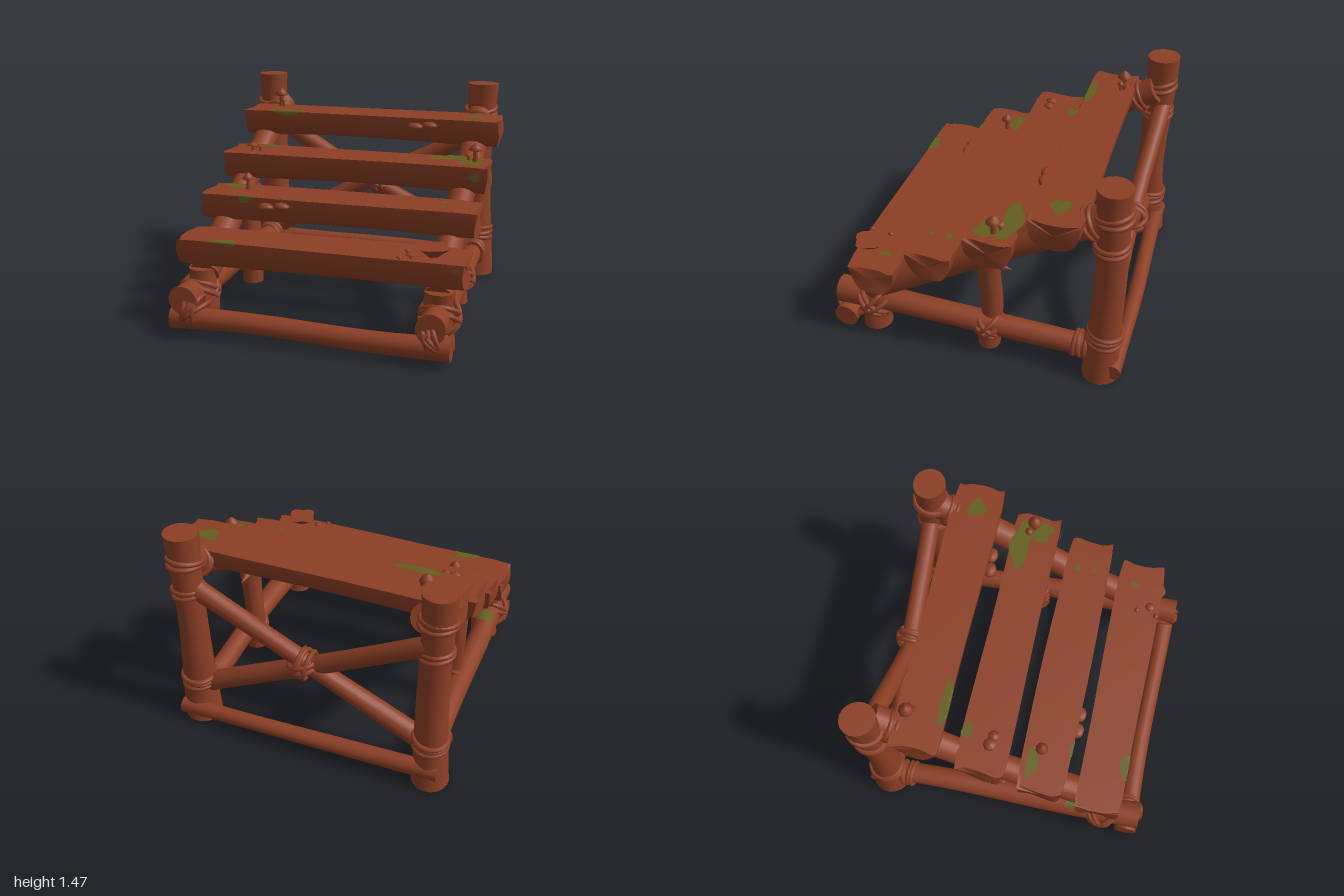
import * as THREE from 'three';
import { toCreasedNormals } from 'three/addons/utils/BufferGeometryUtils.js';

const wood = new THREE.MeshStandardMaterial({ color: 0x8c3f25 });
wood.name = 'reddish brown wood';
const mossGreen = new THREE.MeshStandardMaterial({ color: 0x635e1c, side: THREE.DoubleSide });
mossGreen.name = 'moss green';

const V = (x, y, z) => new THREE.Vector3(x, y, z);
const UP = V(0, 1, 0);

export function createModel() {
  const model = new THREE.Group();
  model.name = 'logStairs';

  function add(name, geometry, material = wood, parent = model) {
    const mesh = new THREE.Mesh(geometry, material);
    mesh.name = name;
    parent.add(mesh);
    return mesh;
  }

  // Uneven log from a to b, waisted in the middle
  function log(name, a, b, r0, r1, flare = 0.15, seed = 0) {
    const length = a.distanceTo(b);
    const g = new THREE.CylinderGeometry(1, 1, length, 18, 10);
    const p = g.attributes.position;
    for (let i = 0; i < p.count; i++) {
      const t = p.getY(i) / length + 0.5;
      const angle = Math.atan2(p.getZ(i), p.getX(i));
      let r = r0 + (r1 - r0) * t;
      r *= 1 - flare / 2 + flare * (2 * t - 1) ** 2 + 0.03 * Math.sin(2 * angle + 7 * t + seed);
      const bend = 0.008 * Math.sin(t * Math.PI * 2 + seed);
      p.setXYZ(i, p.getX(i) * r + bend, p.getY(i), p.getZ(i) * r + bend);
    }
    const mesh = add(name, toCreasedNormals(g, 0.8));
    mesh.position.copy(a).lerp(b, 0.5);
    mesh.quaternion.setFromUnitVectors(UP, b.clone().sub(a).normalize());
    return mesh;
  }

  // Rope turns stacked along an axis
  function lashing(name, center, axis, radius, turns = 2, rope = 0.017) {
    const dir = axis.clone().normalize();
    const group = new THREE.Group();
    group.name = name;
    for (let i = 0; i < turns; i++) {
      const tilt = V(0.1 * Math.sin(i * 2.4 + 1), 0.1 * Math.cos(i * 3.1), 0.1 * Math.sin(i * 1.7));
      const m = add('ropeTurn', new THREE.TorusGeometry(radius, rope, 8, 24), wood, group);
      m.position.copy(center).addScaledVector(dir, (i - (turns - 1) / 2) * rope * 1.9);
      m.quaternion.setFromUnitVectors(V(0, 0, 1), dir.clone().add(tilt).normalize());
    }
    model.add(group);
  }

  // Side frames
  for (const s of [-1, 1]) {
    const side = s > 0 ? 'left' : 'right';
    const px = s > 0 ? 0.782 : -0.848, x = 0.777 * s;
    const railX = s > 0 ? 0.785 : -0.81;
    log(side + 'BackPost', V(px - 0.004, 0, -0.85), V(px + 0.004, s > 0 ? 1.45 : 1.465, -0.855), 0.115, 0.1, 0.2, s);
    log(side + 'Stringer', V(x, 0.355, 0.7), V(x, 1.235, -0.84), 0.092, 0.09, 0.08, s + 2);
    log(side + 'Rail', V(railX, 0.255, 0.96), V(px, 0.19, -0.82), 0.09, 0.07, 0.1, s + 4);
    log(side + 'FrontPost', V(x, 0.03, 0.7), V(x, 0.4, 0.7), 0.098, 0.09, 0.05, s);
    log(side + 'MiddlePost', V(x * 0.97, 0.03, -0.09), V(x * 0.98, 0.76, -0.1), 0.073, 0.073, 0.1, s + 1);

    const spur = add(side + 'BranchStub', new THREE.ConeGeometry(0.04, 0.13, 8));
    spur.position.set(x * 0.98, 0.69, -0.18);
    spur.rotation.x = -1.75;

    // Ropes on the back post
    lashing(side + 'TopLashing', V(px, 1.25, -0.853), V(0, 1, 0.1), 0.108, 2);
    lashing(side + 'UpperLashing', V(px, 1.035, -0.853), V(0.1, 1, 0), 0.1, 2);
    lashing(side + 'LowerLashing', V(px, 0.32, -0.853), V(0, 1, -0.08), 0.106, 3);
    lashing(side + 'RailBackLashing', V(px, 0.2, -0.7), V(0, 0, 1), 0.078, 3);
    lashing(side + 'StringerLashing', V(x, 1.17, -0.73), V(0, 0.5, -0.87), 0.095, 2);
    // Crossed ropes where the rail meets the short posts and front bar
    for (const d of [-1, 1]) {
      lashing(side + 'FrontCrossLashing', V(railX, 0.235, 0.7), V(0, 1, 0.85 * d), 0.123, 2);
      lashing(side + 'MiddleCrossLashing', V(x, 0.205, -0.09), V(0, 1, 0.75 * d), 0.098, 2);
    }
    lashing(side + 'BarLashing', V(x, 0.18, 0.88), V(1, 0.25 * s, 0), 0.092, 3);
    lashing(side + 'BarDiagonalLashing', V(x, 0.17, 0.87), V(0.8, 0.9 * s, 0), 0.105, 2);
  }

  // Cross members
  log('frontBar', V(-0.91, 0.115, 0.89), V(0.895, 0.11, 0.89), 0.07, 0.072, 0.22, 3);
  log('backBar', V(-0.93, 0.14, -0.93), V(0.88, 0.1, -0.94), 0.058, 0.052, 0.1, 1);
  log('backBraceA', V(-0.85, 0.24, -0.82), V(0.78, 1.1, -0.87), 0.068, 0.062, 0.1, 2);
  log('backBraceB', V(-0.85, 1.1, -0.88), V(0.78, 0.23, -0.82), 0.062, 0.068, 0.1, 5);
  lashing('braceLashing', V(0, 0.67, -0.85), V(1, 0.12, 0), 0.092, 3);
  lashing('braceCrossLashing', V(0, 0.67, -0.85), V(0.3, 1, 0), 0.095, 2);

  // Half-log steps: flat on top, rounded underneath
  const steps = [
    { top: 0.61, z: 0.652, h: 0.2, x0: -0.91, x1: 0.94 },
    { top: 0.812, z: 0.257, h: 0.195, x0: -0.912, x1: 0.94 },
    { top: 1.015, z: -0.135, h: 0.198, x0: -0.912, x1: 0.945 },
    { top: 1.25, z: -0.54, h: 0.195, x0: -0.91, x1: 0.96 },
  ];
  const halfDepth = (x, i) => 0.16 + 0.006 * Math.sin(3 * x + i * 1.9);
  steps.forEach((s, i) => {
    const g = new THREE.CylinderGeometry(1, 1, 1, 28, 16);
    g.rotateZ(-Math.PI / 2);
    const p = g.attributes.position;
    for (let k = 0; k < p.count; k++) {
      const t = p.getX(k) + 0.5, r = Math.hypot(p.getY(k), p.getZ(k));
      const a = Math.atan2(p.getY(k), p.getZ(k));
      const x = s.x0 + (s.x1 - s.x0) * t;
      const end = t < 0.001 || t > 0.999;
      const c = Math.cos(a), n = Math.sin(a);
      const z = Math.sign(c) * Math.abs(c) ** 0.7;
      const depth = s.h * (0.93 + 0.08 * (2 * t - 1) ** 2 + 0.02 * Math.sin(5 * t + i));
      const y = n > 0 ? 0 : -(Math.abs(n) ** 0.85) * (1 + 0.04 * Math.sin(5 * a + i));
      const e = r * (end ? 0.94 : 1);
      // small split in the end grain
      const split = end && r > 0.5 ? 0.012 * Math.sin(3 * a + i) : 0;
      p.setXYZ(k, x + split, s.top + (-0.45 + (y + 0.45) * e) * depth, s.z + z * e * halfDepth(x, i));
    }
    add('step' + (i + 1), toCreasedNormals(g, 0.75));
  });

  // Moss draped over a step: step index, x, z, half width, half depth
  const moss = [
    [3, -0.58, -0.4, 0.14, 0.045], [3, 0.79, -0.54, 0.065, 0.06],
    [2, -0.66, -0.265, 0.055, 0.035], [2, 0.71, -0.22, 0.19, 0.065], [2, 0.83, -0.12, 0.075, 0.1],
    [2, 0.87, 0.1, 0.035, 0.03], [1, -0.73, 0.17, 0.1, 0.042], [1, -0.59, 0.43, 0.05, 0.035],
    [1, 0.715, 0.19, 0.03, 0.022], [1, 0.715, 0.31, 0.02, 0.015],
    [0, -0.58, 0.79, 0.09, 0.04], [0, 0.77, 0.62, 0.02, 0.04], [0, 0.89, 0.86, 0.02, 0.015],
  ];
  moss.forEach(([i, cx, cz, w, d], n) => {
    const g = new THREE.RingGeometry(0.001, 1, 28, 6);
    const p = g.attributes.position, s = steps[i];
    for (let k = 0; k < p.count; k++) {
      const a = Math.atan2(p.getY(k), p.getX(k));
      const f = 1 + 0.15 * Math.sin(3 * a + n) + 0.08 * Math.sin(5 * a + 2 * n);
      const x = Math.min(cx + p.getX(k) * w * f, s.x1 - 0.03), z = cz - p.getY(k) * d * f;
      const edge = s.z + halfDepth(x, i) + 0.003;
      p.setXYZ(k, x, s.top + 0.004 - Math.max(0, z - edge), Math.min(z, edge));
    }
    add('mossPatch', toCreasedNormals(g, 0.8), mossGreen);
  });
  // Moss on the right rail
  const railMoss = add('railMoss', new THREE.CylinderGeometry(0.088, 0.088, 0.12, 10, 1, true, 2.6, 1.3), mossGreen);
  railMoss.position.set(-0.815, 0.238, 0.5);
  railMoss.rotation.x = Math.PI / 2;

  // Mushrooms: x, base y, z, height, cap radius
  const mushrooms = [
    [-0.7, 1.24, -0.62, 0.15, 0.05], [-0.675, 1.24, -0.6, 0.08, 0.025],
    [0.85, 1.01, -0.15, 0.135, 0.05], [0.8, 1.01, -0.18, 0.06, 0.03],
    [-0.645, 0.8, 0.22, 0.13, 0.042], [-0.73, 1.01, -0.1, 0.06, 0.045], [-0.67, 1.01, -0.09, 0.05, 0.038],
    [0.57, 0.6, 0.66, 0.035, 0.02], [0.55, 0.6, 0.8, 0.035, 0.02], [0.61, 0.6, 0.75, 0.04, 0.035],
  ];
  for (const [x, y, z, h, r] of mushrooms) {
    const g = new THREE.Group();
    g.name = 'mushroom';
    g.position.set(x, y, z);
    add('stem', new THREE.CylinderGeometry(r * 0.3, r * 0.4, h * 0.75, 8), wood, g).position.y = h * 0.37;
    const cap = [[0, 0.62], [0.7, 0.6], [1, 0.66], [0.65, 0.82], [0.3, 0.95], [0, 1]];
    add('cap', new THREE.LatheGeometry(cap.map(([a, b]) => new THREE.Vector2(a * r, b * h)), 9), wood, g);
    model.add(g);
  }

  // Wide flat mushroom on the lowest step
  const wide = new THREE.CylinderGeometry(0.1, 0.03, 0.06, 20, 2);
  const wp = wide.attributes.position;
  for (let k = 0; k < wp.count; k++) {
    const f = 1 + 0.13 * Math.sin(4 * Math.atan2(wp.getZ(k), wp.getX(k)));
    wp.setXYZ(k, wp.getX(k) * f, wp.getY(k), wp.getZ(k) * f);
  }
  add('wideMushroom', toCreasedNormals(wide, 0.7)).position.set(0.74, 0.655, 0.73);

  // Bracket fungi on the step fronts
  for (const [x, y, z] of [[0.39, 1.195, -0.355], [0.49, 1.205, -0.365], [-0.44, 0.755, 0.425], [-0.33, 0.765, 0.42]]) {
    const f = add('bracketFungus', new THREE.SphereGeometry(0.055, 10, 5));
    f.scale.set(1, 0.5, 0.75);
    f.position.set(x, y, z);
    const under = add('bracketUnderside', new THREE.ConeGeometry(0.045, 0.06, 8));
    under.rotation.x = Math.PI;
    under.position.set(x, y - 0.025, z - 0.01);
  }

  return model;
}
